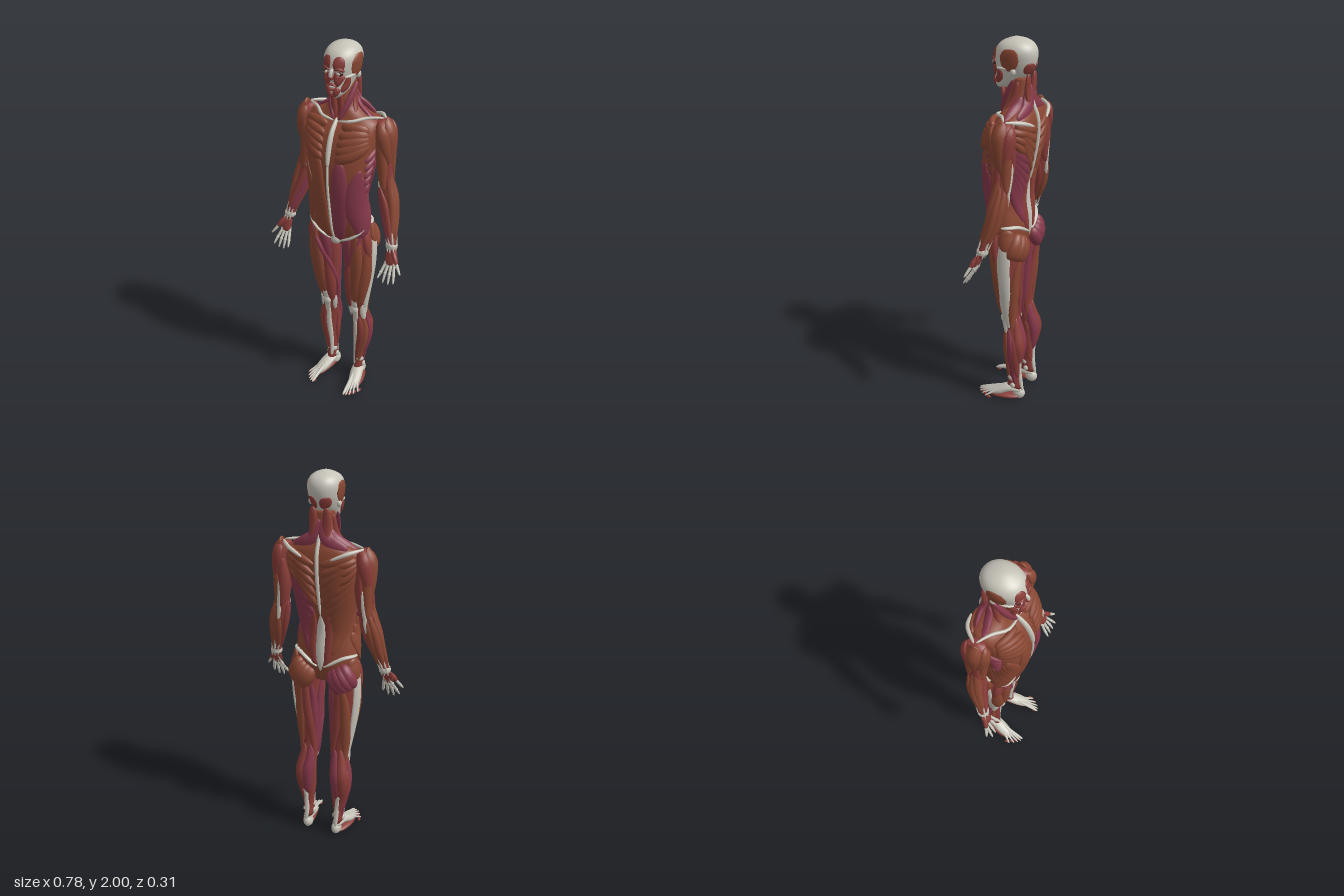
import * as THREE from 'three';

const mat = (color) => new THREE.MeshStandardMaterial({ color });
const RED = mat(0x8a3d38), BROWN = mat(0x8a4733), CRIM = mat(0x86384a), PALE = mat(0xc6c3b8), DARK = mat(0x4a2a26);
const V = (x, y, z) => new THREE.Vector3(x, y, z);
const rad = THREE.MathUtils.degToRad, lerp = THREE.MathUtils.lerp;

// Closed skin over a list of rings; turned outward by its signed volume
function skin(name, material, rings) {
  const n = rings[0].length, pos = [], idx = [];
  rings.forEach((r) => r.forEach((p) => pos.push(p.x, Math.max(0, p.y), p.z)));
  let vol = 0;
  const P = (i) => rings[Math.floor(i / n)][i % n];
  const tri = (a, b, c) => {
    idx.push(a, b, c);
    vol += P(a).dot(P(b).clone().cross(P(c)));
  };
  for (let j = 0; j < rings.length - 1; j++) for (let i = 0; i < n; i++) {
    const a = j * n + i, b = j * n + (i + 1) % n;
    tri(a, b, a + n);
    tri(b, b + n, a + n);
  }
  if (vol < 0) idx.reverse();
  const g = new THREE.BufferGeometry();
  g.setAttribute('position', new THREE.Float32BufferAttribute(pos, 3));
  g.setIndex(idx);
  g.computeVertexNormals();
  const m = new THREE.Mesh(g, material);
  m.name = name;
  return m;
}

// Upright form from rows [y, centre x, front z, back z, half width]; angle 0 front, 90 outer, 180 back
function form(rows, s = 1, e = 1, k = 4) {
  const slope = (i, c) => {
    const a = rows[Math.max(0, i - 1)], b = rows[Math.min(rows.length - 1, i + 1)];
    return (b[c] - a[c]) / (b[0] - a[0]);
  };
  const row = (y) => {
    y = THREE.MathUtils.clamp(y, rows[0][0], rows.at(-1)[0]);
    let i = 0;
    while (i < rows.length - 2 && y > rows[i + 1][0]) i++;
    const h = rows[i + 1][0] - rows[i][0], t = (y - rows[i][0]) / h, t2 = t * t, t3 = t2 * t;
    return [1, 2, 3, 4].map((c) => (2 * t3 - 3 * t2 + 1) * rows[i][c] + (t3 - 2 * t2 + t) * h * slope(i, c)
      + (3 * t2 - 2 * t3) * rows[i + 1][c] + (t3 - t2) * h * slope(i + 1, c));
  };
  const pw = (v) => Math.sign(v) * Math.abs(v) ** e;
  const at = (deg, y, f = 1) => {
    const [cx, zf, zb, rx] = row(y), a = rad(deg);
    return V(s * (cx + f * rx * pw(Math.sin(a))), y, (zf + zb) / 2 + f * (zf - zb) / 2 * pw(Math.cos(a)));
  };
  const normal = (deg, y) => {
    const [, zf, zb, rx] = row(y), a = rad(deg);
    return V(s * Math.sin(a) / rx, 0, 2 * Math.cos(a) / (zf - zb)).normalize();
  };
  const mesh = (name, material, n = 44) => {
    const y0 = rows[0][0], y1 = rows.at(-1)[0], rings = [];
    const ring = (y, f) => rings.push(Array.from({ length: 32 }, (_, i) => at(i * 11.25, y, f)));
    ring(y0, 0.001);
    for (let j = 0; j <= n; j++) ring(lerp(y0, y1, j / n), 1);
    ring(y1, 0.001);
    return skin(name, material, rings);
  };
  return { at, normal, mesh, k };
}

// Spindle swept through points with normals; flattened and bent round the form beneath
function spindle(name, material, point, normal, w, t, p, k = 0) {
  const n = 16, m = 12, rings = [];
  for (let j = 0; j <= n; j++) {
    const u = (1 - Math.cos(Math.PI * j / n)) / 2, c = point(u);
    const T = point(Math.min(1, u + 0.02)).sub(point(Math.max(0, u - 0.02))).normalize();
    const N = normal(u).clone().addScaledVector(T, -normal(u).dot(T)).normalize();
    const B = T.clone().cross(N), f = Math.max(0.001, Math.sin(Math.PI * u)) ** p;
    rings.push(Array.from({ length: m }, (_, i) => {
      const a = i / m * Math.PI * 2, b = f * w * Math.cos(a);
      return c.clone().addScaledVector(B, b)
        .addScaledVector(N, f * t * Math.sin(a) - k * b * b * (1 - B.y * B.y));
    }));
  }
  return skin(name, material, rings);
}

export function createModel() {
  const root = new THREE.Group();
  root.name = 'anatomicalFigure';
  const on = (f) => (name, material, pts, w, t, p = 0.6) => {
    const c = new THREE.SplineCurve(pts.map((q) => new THREE.Vector2(...q)));
    root.add(spindle(name, material, (u) => { const q = c.getPoint(u); return f.at(q.x, q.y); },
      (u) => { const q = c.getPoint(u); return f.normal(q.x, q.y); }, w, t, p, f.k));
  };
  const fan = (m, n, name, material, from, to, w, t, p) => {
    for (let i = 0; i < n; i++) {
      const u = i / (n - 1), mix = (e) => [lerp(e[0], e[2], u), lerp(e[1], e[3], u)];
      m(name, material, [mix(from), mix(to)], w, t, p);
    }
  };
  const free = (name, material, s, pts, w, t, N = [0, 0, 1], p = 0.3) => {
    const c = new THREE.CatmullRomCurve3(pts.map(([x, y, z]) => V(s * x, y, z))), d = V(s * N[0], N[1], N[2]);
    root.add(spindle(name, material, (u) => c.getPoint(u), () => d, w, t, p));
  };
  const ball = (name, material, x, y, z, rx, ry, rz) => {
    const m = new THREE.Mesh(new THREE.SphereGeometry(1, 20, 14), material);
    m.name = name; m.position.set(x, y, z); m.scale.set(rx, ry, rz);
    root.add(m);
  };

  const torsoRows = [[0.93, 0, 0.03, -0.07, 0.07], [0.97, 0, 0.06, -0.09, 0.14], [1.03, 0, 0.085, -0.1, 0.163],
    [1.1, 0, 0.1, -0.095, 0.163], [1.2, 0, 0.115, -0.082, 0.152], [1.3, 0, 0.128, -0.095, 0.155],
    [1.4, 0, 0.13, -0.115, 0.168], [1.5, 0, 0.115, -0.132, 0.18], [1.58, 0, 0.085, -0.138, 0.185],
    [1.635, 0, 0.04, -0.13, 0.175], [1.66, 0, 0.03, -0.12, 0.12], [1.69, 0, 0.025, -0.108, 0.072],
    [1.74, 0, 0.025, -0.095, 0.055], [1.82, 0, 0, -0.085, 0.05]];
  const headRows = [[1.755, 0, 0.075, 0.03, 0.022], [1.775, 0, 0.085, -0.02, 0.043], [1.82, 0, 0.083, -0.085, 0.06],
    [1.86, 0, 0.082, -0.11, 0.073], [1.9, 0, 0.085, -0.124, 0.081], [1.94, 0, 0.077, -0.124, 0.083],
    [1.97, 0, 0.056, -0.108, 0.07], [1.988, 0, 0.025, -0.08, 0.047], [1.998, 0, -0.005, -0.045, 0.018]];
  const legRows = [[0.07, 0.088, -0.01, -0.1, 0.026], [0.13, 0.088, -0.018, -0.09, 0.026], [0.2, 0.093, -0.02, -0.085, 0.032],
    [0.3, 0.102, -0.012, -0.1, 0.046], [0.38, 0.102, -0.007, -0.107, 0.05], [0.45, 0.092, -0.004, -0.088, 0.047],
    [0.52, 0.088, 0.008, -0.075, 0.048], [0.6, 0.092, 0.024, -0.074, 0.056], [0.7, 0.098, 0.038, -0.08, 0.066],
    [0.8, 0.103, 0.048, -0.085, 0.075], [0.9, 0.103, 0.06, -0.098, 0.08], [0.97, 0.1, 0.062, -0.105, 0.08],
    [1.04, 0.1, 0.05, -0.085, 0.066]];
  const armRows = [[0.985, 0.31, 0.045, 0.005, 0.026], [1.02, 0.303, 0.04, -0.008, 0.026], [1.08, 0.288, 0.028, -0.028, 0.028],
    [1.16, 0.268, 0.01, -0.06, 0.037], [1.24, 0.25, -0.002, -0.08, 0.042], [1.3, 0.234, -0.008, -0.088, 0.038],
    [1.37, 0.222, -0.012, -0.092, 0.034], [1.45, 0.216, -0.006, -0.1, 0.037], [1.53, 0.217, 0.008, -0.105, 0.04],
    [1.6, 0.213, 0.01, -0.105, 0.04], [1.645, 0.203, -0.01, -0.09, 0.025]];

  const torso = form(torsoRows, 1, 0.85, 2), head = form(headRows, 1, 0.95, 4);
  root.add(torso.mesh('torso', BROWN, 60), head.mesh('skull', PALE));
  on(torso)('lineaAlba', PALE, [[0, 1.44], [0, 1.2], [0, 0.97]], 0.007, 0.009, 0.2);
  on(torso)('sternum', PALE, [[0, 1.64], [0, 1.54], [0, 1.42]], 0.013, 0.018, 0.3);
  on(torso)('lumbarFascia', PALE, [[180, 1.3], [180, 1.15], [180, 0.99]], 0.03, 0.012, 1);
  on(torso)('spineLine', PALE, [[180, 1.75], [180, 1.6], [180, 1.3]], 0.01, 0.012, 0.3);
  ball('pubicTendon', PALE, 0, 0.97, 0.05, 0.03, 0.03, 0.025);
  ball('nose', RED, 0, 1.858, 0.087, 0.012, 0.014, 0.018);
  free('noseBridge', PALE, 1, [[0, 1.9, 0.08], [0, 1.88, 0.093], [0, 1.855, 0.098]], 0.009, 0.008);
  ball('teeth', PALE, 0, 1.812, 0.083, 0.014, 0.005, 0.008);
  ball('chin', RED, 0, 1.77, 0.074, 0.02, 0.014, 0.016);
  on(head)('upperLip', RED, [[-24, 1.812], [0, 1.823], [24, 1.812]], 0.006, 0.01);
  on(head)('lowerLip', RED, [[-24, 1.808], [0, 1.798], [24, 1.808]], 0.006, 0.01);

  for (const s of [1, -1]) {
    const side = s > 0 ? CRIM : BROWN, t = on(form(torsoRows, s, 0.85, 2)), h = on(form(headRows, s, 0.95, 4));
    const legForm = form(legRows, s, 1, 5), l = on(legForm), armForm = form(armRows, s, 1, 8), a = on(armForm);

    // Chest, belly and flank
    fan(t, 5, 'pectoral', BROWN, [9, 1.455, 9, 1.61], [68, 1.54, 62, 1.6], 0.033, 0.02, 0.4);
    t('rectusAbdominis', side, [[17, 1.45], [19, 1.25], [8, 0.98]], 0.044, 0.014, 0.4);
    fan(t, 6, 'externalOblique', side, [62, 1.41, 112, 1.2], [30, 1.16, 52, 1.0], 0.034, 0.011, 0.5);
    for (let i = 0; i < 5; i++)
      t('serratus', CRIM, [[102 - i * 2, 1.5 - i * 0.045], [68 + i * 4, 1.45 - i * 0.045]], 0.017, 0.014);
    t('inguinalLigament', PALE, [[75, 1.08], [40, 1.02], [8, 0.97]], 0.008, 0.012, 0.3);
    // Back
    fan(t, 7, 'latissimus', s > 0 ? CRIM : BROWN, [174, 1.4, 164, 1.09], [108, 1.53, 100, 1.46], 0.03, 0.014, 0.4);
    fan(t, 5, 'lowerTrapezius', BROWN, [177, 1.35, 177, 1.57], [130, 1.6, 118, 1.63], 0.026, 0.017, 0.5);
    fan(t, 3, 'infraspinatus', BROWN, [152, 1.47, 158, 1.57], [108, 1.57, 108, 1.6], 0.024, 0.02);
    t('upperTrapezius', CRIM, [[172, 1.78], [150, 1.69], [120, 1.645]], 0.035, 0.016, 0.4);
    t('shoulderSlope', CRIM, [[120, 1.73], [95, 1.675], [85, 1.64]], 0.024, 0.012);
    t('erectorSpinae', RED, [[169, 1.32], [166, 1.18], [172, 1.02]], 0.026, 0.014);
    t('iliacCrest', PALE, [[176, 1.02], [140, 1.075], [95, 1.08]], 0.009, 0.015, 0.3);
    free('clavicle', PALE, s, [[0.012, 1.63, 0.052], [0.08, 1.64, 0.042], [0.14, 1.652, -0.01], [0.205, 1.652, -0.05]], 0.008, 0.008);
    free('scapularSpine', PALE, s, [[0.21, 1.65, -0.06], [0.15, 1.637, -0.125], [0.075, 1.605, -0.148]], 0.01, 0.009, [0, 0.5, -1]);

    // Neck and head
    free('sternomastoid', CRIM, s, [[0.014, 1.635, 0.05], [0.045, 1.71, 0.02], [0.066, 1.81, -0.035]], 0.016, 0.012, [1, 0, 1]);
    free('throatMuscle', RED, s, [[0.012, 1.64, 0.035], [0.018, 1.7, 0.034], [0.02, 1.77, 0.045]], 0.015, 0.012);
    free('scalene', RED, s, [[0.085, 1.65, 0.0], [0.058, 1.71, -0.03], [0.05, 1.8, -0.05]], 0.018, 0.012, [1, 0, 0]);
    free('napeMuscle', RED, s, [[0.03, 1.66, -0.11], [0.032, 1.74, -0.095], [0.035, 1.84, -0.1]], 0.024, 0.014, [0, 0, -1]);
    h('temporalis', BROWN, [[82, 1.955], [88, 1.91], [78, 1.86]], 0.05, 0.007, 0.4);
    h('frontalis', RED, [[20, 1.953], [22, 1.92], [20, 1.89]], 0.028, 0.006, 0.4);
    h('occipitalis', RED, [[156, 1.89], [154, 1.835]], 0.03, 0.006, 0.4);
    h('cheekArch', PALE, [[42, 1.858], [90, 1.862]], 0.007, 0.009);
    h('masseter', RED, [[56, 1.862], [62, 1.82], [50, 1.785]], 0.02, 0.011);
    h('cheekMuscle', RED, [[45, 1.865], [28, 1.838], [20, 1.815]], 0.014, 0.011);
    h('noseSideMuscle', RED, [[13, 1.885], [15, 1.85], [16, 1.825]], 0.012, 0.01);
    h('jawMuscle', RED, [[18, 1.81], [25, 1.79], [14, 1.765]], 0.016, 0.009);
    ball('eyeSocket', DARK, s * 0.032, 1.877, 0.069, 0.019, 0.013, 0.013);
    ball('eyeball', PALE, s * 0.032, 1.877, 0.074, 0.011, 0.009, 0.011);
    h('brow', RED, [[8, 1.892], [24, 1.9], [42, 1.886]], 0.008, 0.011);
    h('lowerLid', RED, [[12, 1.868], [24, 1.859], [40, 1.867]], 0.006, 0.009);
    ball('earBone', PALE, s * 0.072, 1.85, -0.035, 0.012, 0.018, 0.014);

    // Hip and thigh
    root.add(legForm.mesh('leg', RED));
    const glute = s > 0 ? BROWN : CRIM;
    fan(l, 4, 'gluteusMaximus', glute, [222, 1.0, 168, 1.045], [172, 0.885, 118, 0.92], 0.038, 0.03, 0.5);
    l('gluteusMedius', BROWN, [[125, 1.07], [112, 1.02], [98, 0.95]], 0.042, 0.016);
    l('tensorMuscle', RED, [[55, 1.05], [58, 0.97], [68, 0.87]], 0.023, 0.016);
    l('outerThighBand', PALE, [[98, 1.04], [100, 0.92], [97, 0.7], [88, 0.48]], 0.035, 0.011, 0.4);
    l('rectusFemoris', BROWN, [[22, 1.02], [10, 0.8], [2, 0.56]], 0.034, 0.017);
    l('vastusLateralis', BROWN, [[62, 0.96], [52, 0.75], [35, 0.54]], 0.036, 0.016);
    l('vastusMedialis', RED, [[-30, 0.84], [-42, 0.66], [-38, 0.51]], 0.031, 0.018);
    l('sartorius', CRIM, [[48, 1.05], [0, 0.92], [-52, 0.75], [-90, 0.58], [-62, 0.44]], 0.015, 0.016, 0.4);
    l('pectineus', CRIM, [[-12, 1.0], [-32, 0.93], [-45, 0.8]], 0.028, 0.013);
    l('adductor', RED, [[-45, 0.98], [-72, 0.85], [-80, 0.65]], 0.032, 0.012);
    l('gracilis', CRIM, [[-92, 0.95], [-105, 0.75], [-100, 0.48]], 0.024, 0.012);
    l('bicepsFemoris', BROWN, [[172, 0.93], [152, 0.7], [118, 0.47]], 0.03, 0.016);
    l('semitendinosus', RED, [[188, 0.93], [200, 0.7], [238, 0.46]], 0.027, 0.016);
    l('semimembranosus', CRIM, [[215, 0.9], [228, 0.7], [235, 0.5]], 0.024, 0.013);
    // Knee and lower leg
    ball('kneecap', PALE, s * 0.087, 0.515, 0.008, 0.024, 0.028, 0.016);
    l('kneeTendon', PALE, [[0, 0.6], [0, 0.52], [-5, 0.42]], 0.019, 0.009, 0.4);
    for (const q of [58, -62]) l('kneeSide', PALE, [[q, 0.55], [q, 0.44]], 0.017, 0.009);
    l('shinBone', PALE, [[-10, 0.47], [-24, 0.3], [-28, 0.1]], 0.015, 0.009, 0.3);
    l('tibialis', RED, [[22, 0.46], [16, 0.33], [-5, 0.12]], 0.021, 0.012);
    l('toeExtensor', BROWN, [[55, 0.46], [48, 0.3], [25, 0.11]], 0.019, 0.011);
    l('peroneus', CRIM, [[88, 0.47], [90, 0.32], [105, 0.1]], 0.019, 0.011);
    l('soleus', RED, [[118, 0.42], [122, 0.28], [160, 0.14]], 0.025, 0.012);
    l('innerSoleus', RED, [[-92, 0.42], [-105, 0.28], [-150, 0.14]], 0.025, 0.012);
    l('outerCalf', RED, [[160, 0.53], [152, 0.38], [168, 0.24]], 0.03, 0.018);
    l('innerCalf', CRIM, [[202, 0.53], [212, 0.37], [194, 0.22]], 0.032, 0.019);
    l('heelTendon', PALE, [[180, 0.28], [180, 0.16], [180, 0.05]], 0.014, 0.011, 0.4);
    l('ankleBand', PALE, [[-95, 0.13], [0, 0.15], [95, 0.13]], 0.015, 0.006, 0.2);
    // Foot
    ball('heel', PALE, s * 0.085, 0.035, -0.08, 0.027, 0.035, 0.035);
    for (const x of [0.06, 0.116]) ball('ankleBone', PALE, s * x, 0.095, -0.055, 0.009, 0.017, 0.014);
    free('footArch', PALE, s, [[0.086, 0.06, -0.1], [0.092, 0.065, -0.035], [0.108, 0.038, 0.03], [0.122, 0.018, 0.085]], 0.036, 0.024, [0, 1, 0]);
    free('soleMuscle', RED, s, [[0.088, 0.018, -0.09], [0.108, 0.018, 0], [0.12, 0.014, 0.085]], 0.037, 0.016, [0, 1, 0]);
    for (let i = 0; i < 5; i++) {
      const x = 0.103 + i * 0.0155, z = 0.154 - i * i * 0.0038, r = i ? 0.0065 : 0.01;
      free('toe', PALE, s, [[0.085 + i * 0.006, 0.075, -0.02], [lerp(0.09, x, 0.6), 0.038, z * 0.5], [x, 0.011, z]], r, r, [0, 1, 0]);
      ball('toePad', RED, s * (x - 0.002), 0.01, z - 0.022, r, 0.009, 0.014);
    }

    // Shoulder and upper arm
    root.add(armForm.mesh('arm', RED));
    a('frontDeltoid', BROWN, [[0, 1.64], [25, 1.56], [72, 1.42]], 0.034, 0.016);
    a('middleDeltoid', BROWN, [[88, 1.662], [86, 1.57], [88, 1.41]], 0.042, 0.018);
    a('rearDeltoid', RED, [[175, 1.635], [148, 1.56], [105, 1.42]], 0.036, 0.016);
    a('biceps', BROWN, [[-18, 1.57], [2, 1.43], [-2, 1.29]], 0.029, 0.018);
    a('brachialis', RED, [[68, 1.46], [60, 1.38], [35, 1.29]], 0.021, 0.011);
    a('outerTriceps', BROWN, [[140, 1.56], [130, 1.44], [158, 1.31]], 0.027, 0.014);
    a('innerTriceps', RED, [[205, 1.57], [218, 1.43], [195, 1.31]], 0.03, 0.014);
    a('tricepsTendon', PALE, [[178, 1.46], [178, 1.38], [180, 1.28]], 0.014, 0.011);
    // Forearm and wrist
    a('brachioradialis', BROWN, [[78, 1.4], [52, 1.26], [48, 1.06]], 0.023, 0.014);
    a('wristFlexor', RED, [[-60, 1.33], [-12, 1.2], [15, 1.03]], 0.022, 0.012);
    a('palmFlexor', CRIM, [[-80, 1.33], [-52, 1.2], [-25, 1.03]], 0.022, 0.013);
    a('innerFlexor', RED, [[-100, 1.33], [-95, 1.2], [-80, 1.03]], 0.022, 0.012);
    fan(a, 3, 'wristExtensor', BROWN, [95, 1.35, 175, 1.3], [90, 1.04, 215, 1.04], 0.021, 0.012);
    for (const q of [0, -35, 40, 140, 180, 220]) a('forearmTendon', PALE, [[q, 1.13], [q, 0.98]], 0.005, 0.006, 0.3);
    a('elbowBone', PALE, [[186, 1.32], [190, 1.26], [195, 1.18]], 0.011, 0.01);
    a('elbowTendon', PALE, [[-30, 1.34], [-45, 1.29]], 0.013, 0.009);
    for (const q of [0, 180]) a('wristBand', PALE, [[q - 95, 1.01], [q, 1.013], [q + 95, 1.01]], 0.016, 0.006, 0.2);
    // Hand, palm to the front
    free('palm', RED, s, [[0.31, 1.005, 0.024], [0.315, 0.965, 0.037], [0.312, 0.915, 0.056]], 0.032, 0.013, [0, 0.3, 1]);
    free('thumbMuscle', RED, s, [[0.322, 0.99, 0.035], [0.342, 0.96, 0.05], [0.358, 0.932, 0.062]], 0.013, 0.013);
    free('thumb', PALE, s, [[0.325, 0.985, 0.032], [0.358, 0.935, 0.06], [0.388, 0.893, 0.08]], 0.008, 0.008);
    for (let i = 0; i < 4; i++) {
      const x = 0.272 + i * 0.03, k = 0.291 + i * 0.0155, y = [0.847, 0.828, 0.828, 0.842][i];
      free('finger', PALE, s, [[0.302 + i * 0.005, 0.985, 0.022], [k, 0.92, 0.05], [lerp(k, x, 0.6), 0.875, 0.078], [x, y, 0.1]], 0.0075, 0.0075);
      ball('knuckle', PALE, s * k, 0.92, 0.05, 0.009, 0.011, 0.009);
      ball('fingerJoint', PALE, s * lerp(k, x, 0.6), 0.875, 0.078, 0.0085, 0.009, 0.0085);
    }
  }
  return root;
}
